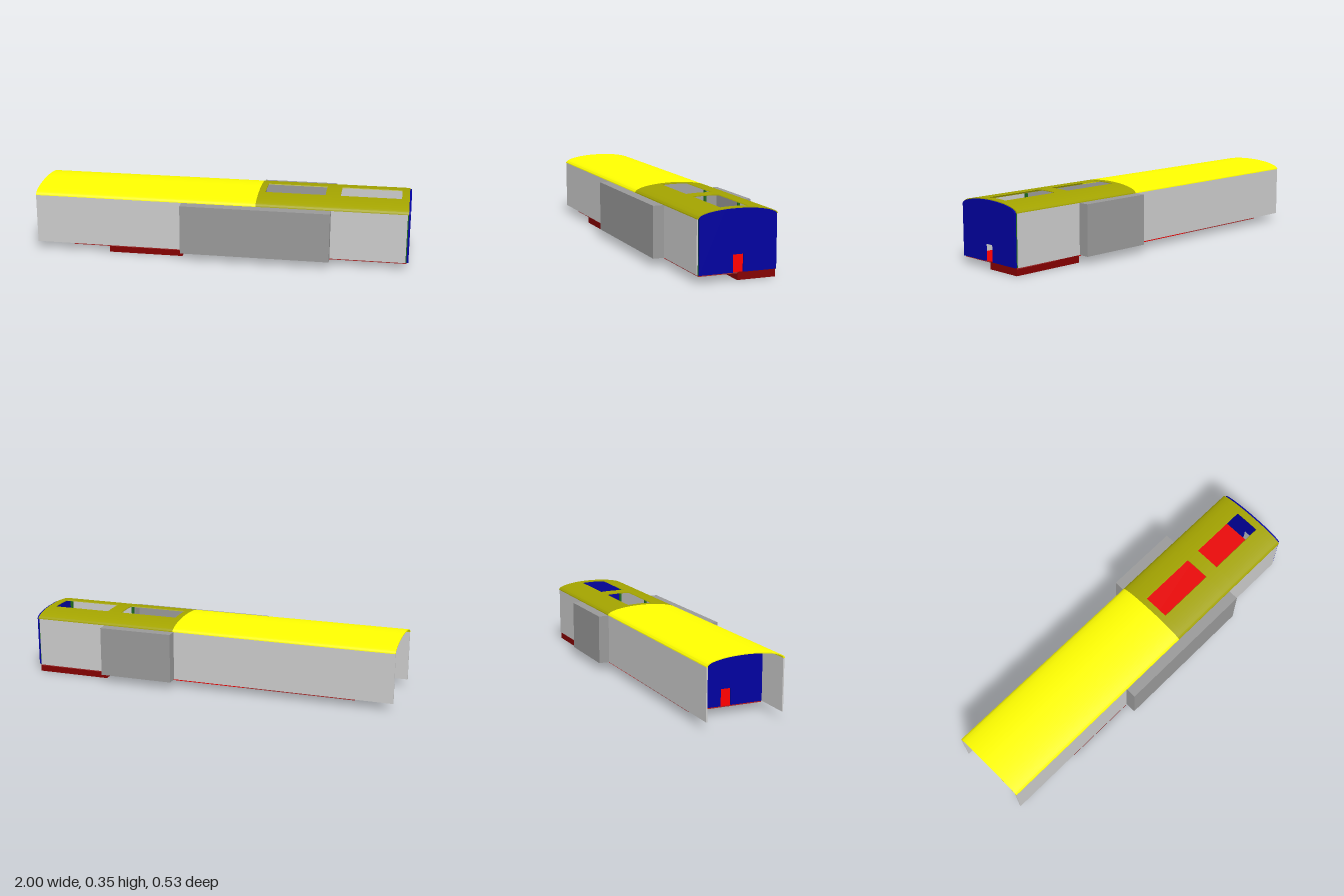
import * as THREE from 'three';
import { toCreasedNormals } from 'three/addons/utils/BufferGeometryUtils.js';

const mat = (color) => new THREE.MeshStandardMaterial({ color, side: THREE.DoubleSide });
const M = {
  wall: mat(0xcccccc), slide: mat(0x999999), roof: mat(0xffff00), roofRear: mat(0xa3a300),
  end: mat(0x0000a0), floor: mat(0xe80000), under: mat(0xa83030), tank: mat(0x850000), post: mat(0x1f6b1f),
};
const BASE = 0.04, EAVE = 0.305, HALF = 0.2;

export function createModel() {
  const root = new THREE.Group();

  const add = (name, geometry, material) => {
    const mesh = new THREE.Mesh(geometry, material);
    mesh.name = name;
    root.add(mesh);
    return mesh;
  };
  // Box given by its limits on each axis
  const box = (name, material, x0, x1, y0, y1, z0, z1) => {
    const mesh = add(name, new THREE.BoxGeometry(x1 - x0, y1 - y0, z1 - z0), material);
    mesh.position.set((x0 + x1) / 2, (y0 + y1) / 2, (z0 + z1) / 2);
    return mesh;
  };
  // Cross-section (drawn as z, y) extruded along x
  const section = (name, material, shape, x0, x1) => {
    const geo = new THREE.ExtrudeGeometry(shape, { depth: x1 - x0, bevelEnabled: false, curveSegments: 40 });
    geo.rotateY(Math.PI / 2);
    geo.translate(x0, 0, 0);
    return add(name, toCreasedNormals(geo, 0.5), material);
  };

  // Curved roof shell between two angles of the ellipse
  const roof = (name, material, x0, x1, a0 = 0, a1 = Math.PI) => {
    const s = new THREE.Shape();
    s.absellipse(0, EAVE, 0.209, 0.043, a0, a1, false);
    const inner = new THREE.Path();
    inner.absellipse(0, EAVE, 0.2, 0.039, a1, a0, true);
    inner.getPoints(40).forEach((p) => s.lineTo(p.x, p.y));
    s.closePath();
    section(name, material, s, x0, x1);
  };
  roof('frontRoof', M.roof, -1, 0.195);
  for (const [a, b] of [[0.195, 0.23], [0.55, 0.63], [0.95, 0.99]]) roof('rearRoof', M.roofRear, a, b);
  // Strips on both sides of the two roof openings
  const hatch = Math.acos(0.0725 / 0.209);
  for (const [a, b] of [[0.23, 0.55], [0.63, 0.95]]) {
    roof('rearRoofSide', M.roofRear, a, b, 0, hatch);
    roof('rearRoofSide', M.roofRear, a, b, Math.PI - hatch, Math.PI);
  }

  // End panel and forward bulkhead, each with a small doorway
  const panel = new THREE.Shape();
  panel.moveTo(HALF, BASE);
  panel.lineTo(HALF, EAVE);
  panel.absellipse(0, EAVE, HALF, 0.039, 0, Math.PI, false);
  panel.lineTo(-HALF, BASE);
  panel.lineTo(-0.028, BASE);
  panel.lineTo(-0.028, 0.127);
  panel.lineTo(0.028, 0.127);
  panel.lineTo(0.028, BASE);
  panel.closePath();
  section('endPanel', M.end, panel, 0.99, 1);
  section('bulkhead', M.end, panel, -0.805, -0.795);

  // Side walls, each broken by a hollow slide-out
  for (const [side, start] of [[1, -0.2], [-1, 0.19]]) {
    const end = 0.59, T = 0.006;
    const sideBox = (name, material, x0, x1, y0, y1, z0, z1) =>
      box(name, material, x0, x1, y0, y1, Math.min(side * z0, side * z1), Math.max(side * z0, side * z1));
    sideBox('sideWall', M.wall, -1, start, BASE, EAVE, HALF, 0.207);
    sideBox('sideWall', M.wall, end, 0.985, BASE, EAVE, HALF, 0.207);
    sideBox('slideOutFace', M.slide, start, end, BASE, EAVE, 0.259, 0.265);
    sideBox('slideOutTop', M.slide, start, end, EAVE - T, EAVE, HALF, 0.259);
    sideBox('slideOutBottom', M.slide, start, end, BASE, BASE + T, HALF, 0.259);
    for (const x of [start, end - T]) sideBox('slideOutEnd', M.slide, x, x + T, BASE + T, EAVE - T, HALF, 0.259);
    // Upright posts at the wall edges
    for (const x of [start - 0.008, end, 0.978]) sideBox('post', M.post, x, x + 0.012, BASE, EAVE, 0.189, 0.201);
  }
  // Middle post
  box('centrePost', M.post, -0.21, -0.19, BASE, 0.343, -0.012, 0.012);

  // Floor: a top sheet, with a mid deck and two end decks below it
  box('floorSheet', M.floor, -0.8, 0.989, 0.037, BASE, -0.199, 0.199);
  box('midDeck', M.floor, -0.2, 0.59, 0.033, 0.0395, -HALF, HALF);
  box('frontDeck', M.under, -0.8, -0.2, 0.033, 0.0395, -HALF, HALF);
  box('rearDeck', M.under, 0.59, 0.99, 0.033, 0.0395, -HALF, HALF);

  // Storage boxes hung under opposite halves of the floor
  box('storageBox', M.tank, -0.6, -0.2, 0, 0.038, 0, HALF);
  box('storageBox', M.tank, 0.59, 0.991, 0, 0.0395, -HALF, 0);

  return root;
}
